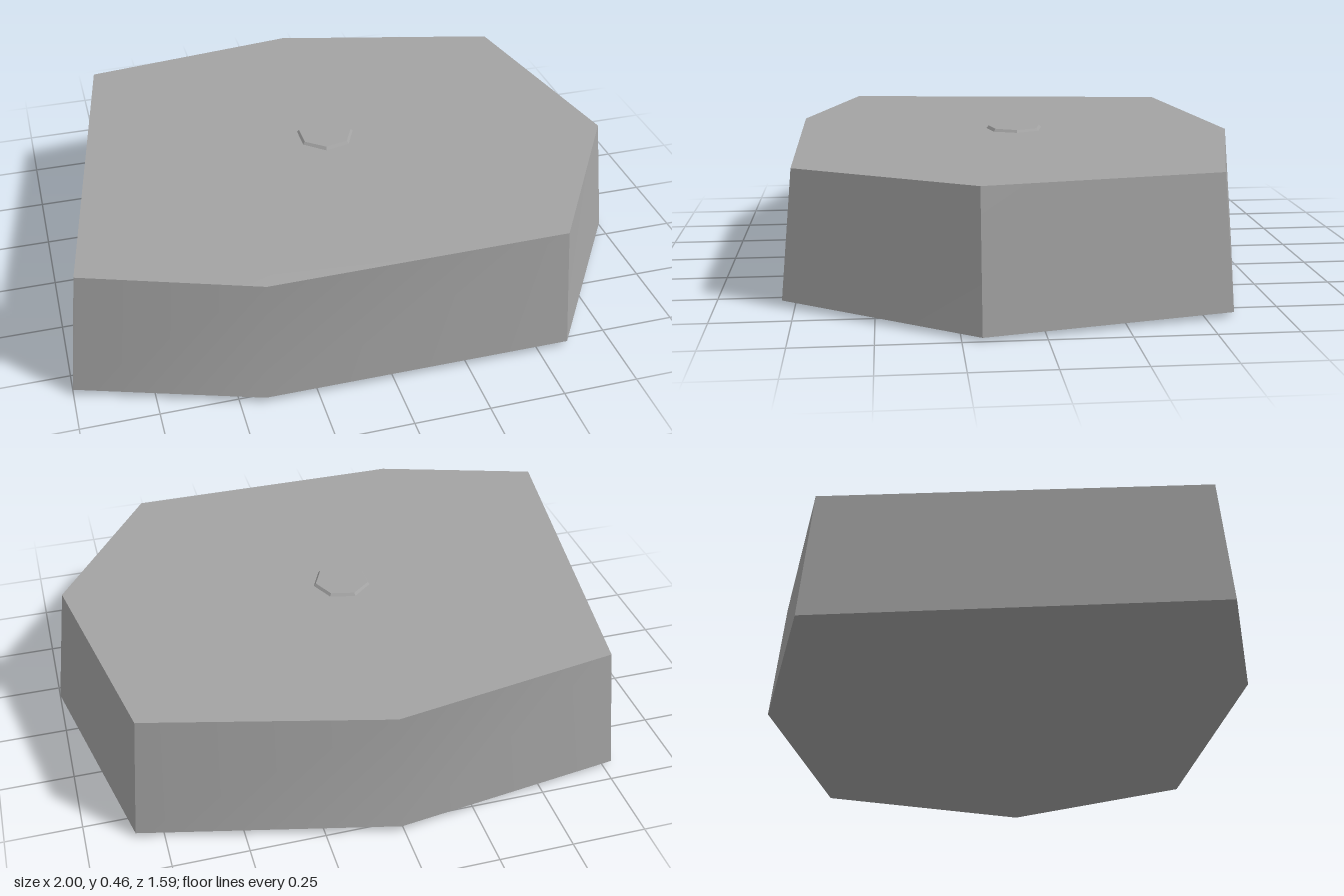
import * as THREE from 'three';
import { toCreasedNormals } from 'three/addons/utils/BufferGeometryUtils.js';

// Builds a creased mesh from a list of [a, b, c] triangles
function facetMesh(name, triangles, material) {
  const geometry = new THREE.BufferGeometry();
  geometry.setAttribute('position', new THREE.Float32BufferAttribute(triangles.flat(2), 3));
  const mesh = new THREE.Mesh(toCreasedNormals(geometry, 0.45), material);
  mesh.name = name;
  return mesh;
}

export function createModel() {
  const group = new THREE.Group();
  group.name = 'stoneSlab';
  const stone = new THREE.MeshStandardMaterial({ color: 0xa3a3a3 });
  stone.name = 'grey stone';

  // Seven-cornered outline, clockwise from the back, as [x, y, z]
  const base = [
    [0.01, 0.025, -0.8], [0.84, 0.015, -0.59], [1, 0.012, 0.19], [0.6, 0.02, 0.79],
    [-0.42, 0.022, 0.79], [-1, 0.02, 0.59], [-0.78, 0.012, -0.68],
  ];
  const rim = [
    [0.02, 0.442, -0.76], [0.8, 0.443, -0.56], [0.94, 0.445, 0.19], [0.58, 0.437, 0.75],
    [-0.4, 0.437, 0.76], [-0.95, 0.443, 0.57], [-0.74, 0.452, -0.645],
  ];
  const topCentre = [-0.012, 0.452, 0];
  const baseCentre = [0, 0, 0];

  const sides = [], top = [], bottom = [];
  base.forEach((b0, i) => {
    const j = (i + 1) % base.length;
    const b1 = base[j], t0 = rim[i], t1 = rim[j];
    sides.push([b1, b0, t0], [b1, t0, t1]);
    top.push([topCentre, t1, t0]);
    bottom.push([baseCentre, b0, b1]);
  });
  group.add(
    facetMesh('slabSides', sides, stone),
    facetMesh('slabTop', top, stone),
    facetMesh('slabUnderside', bottom, stone),
  );

  // Low seven-sided boss in the middle of the top
  const boss = new THREE.Mesh(
    toCreasedNormals(new THREE.CylinderGeometry(0.093, 0.105, 0.014, 7, 1, false, Math.PI / 2), 0.1),
    stone,
  );
  boss.name = 'centreBoss';
  boss.position.set(topCentre[0], 0.453, 0);
  group.add(boss);

  return group;
}
